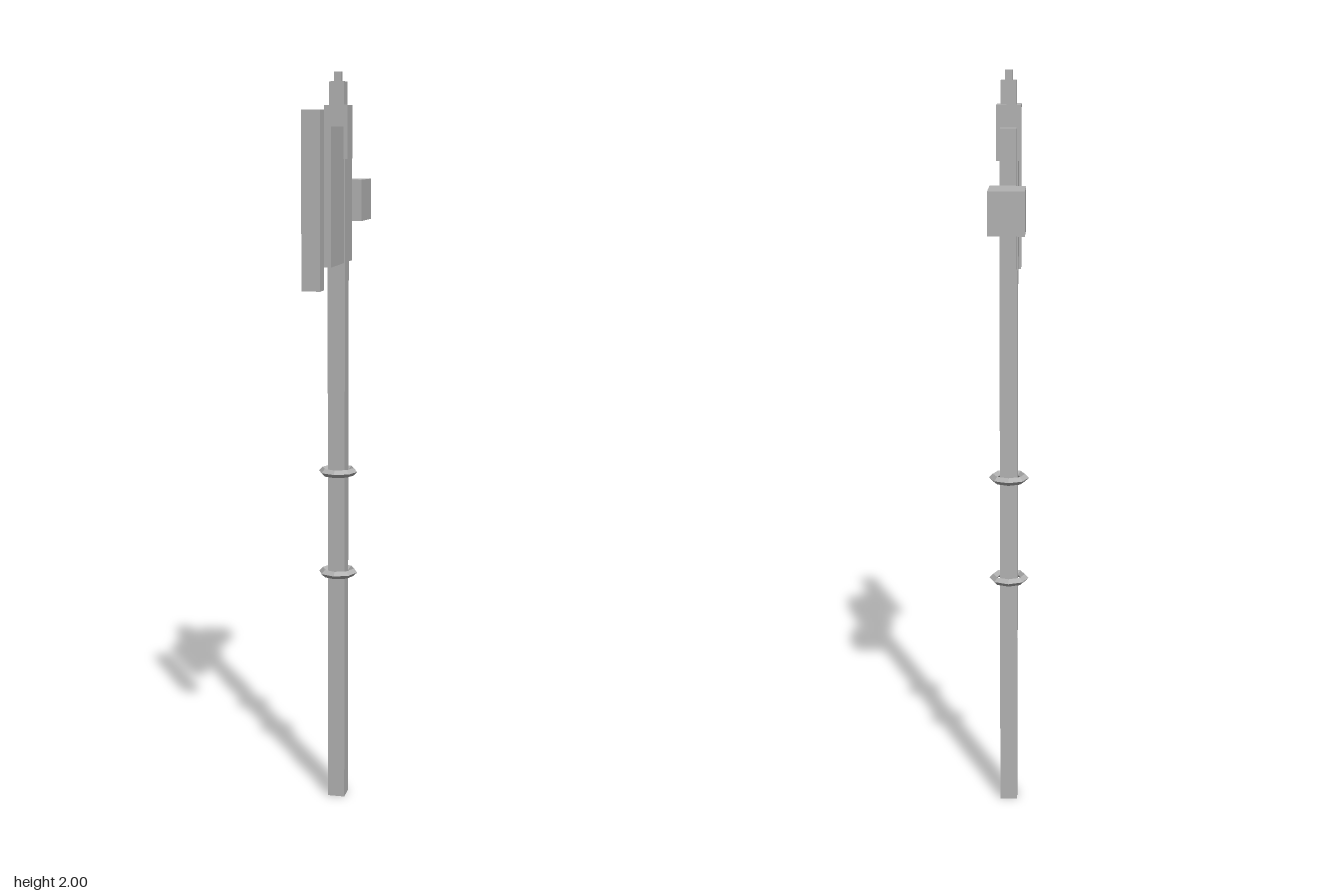
import * as THREE from 'three';

export function createModel() {
  const group = new THREE.Group();
  const grey = new THREE.MeshStandardMaterial({ color: 0xb3b3b3, flatShading: true });
  grey.name = 'grey';
  const axis = -0.05; // z of the shaft axis

  // Box given by half width, y range and z range
  const box = (name, halfX, y0, y1, z0, z1) => {
    const mesh = new THREE.Mesh(new THREE.BoxGeometry(halfX * 2, y1 - y0, z1 - z0), grey);
    mesh.position.set(0, (y0 + y1) / 2, (z0 + z1) / 2);
    mesh.name = name;
    group.add(mesh);
  };
  // Square section centred on the shaft axis
  const post = (name, half, y0, y1) => box(name, half, y0, y1, axis - half, axis + half);

  // Shaft and stepped finial
  post('shaft', 0.0235, 0, 1.8);
  post('collar', 0.0315, 1.777, 1.915);
  post('finial', 0.02, 1.915, 1.975);
  post('tip', 0.0095, 1.975, 2);

  // Axe head: blade plate, detached cutting edge and rear hammer
  box('blade', 0.0205, 1.505, 1.86, -0.124, 0.123);
  box('cuttingEdge', 0.024, 1.456, 1.9, 0.213, 0.255);
  box('hammer', 0.046, 1.61, 1.72, -0.255, -0.128);

  // Octagonal grip rings
  for (const [name, y] of [['upperRing', 0.936], ['lowerRing', 0.652]]) {
    const ring = new THREE.Mesh(new THREE.TorusGeometry(0.043, 0.0105, 4, 8), grey);
    ring.rotation.x = Math.PI / 2;
    ring.position.set(0, y, axis);
    ring.name = name;
    group.add(ring);
  }
  return group;
}
